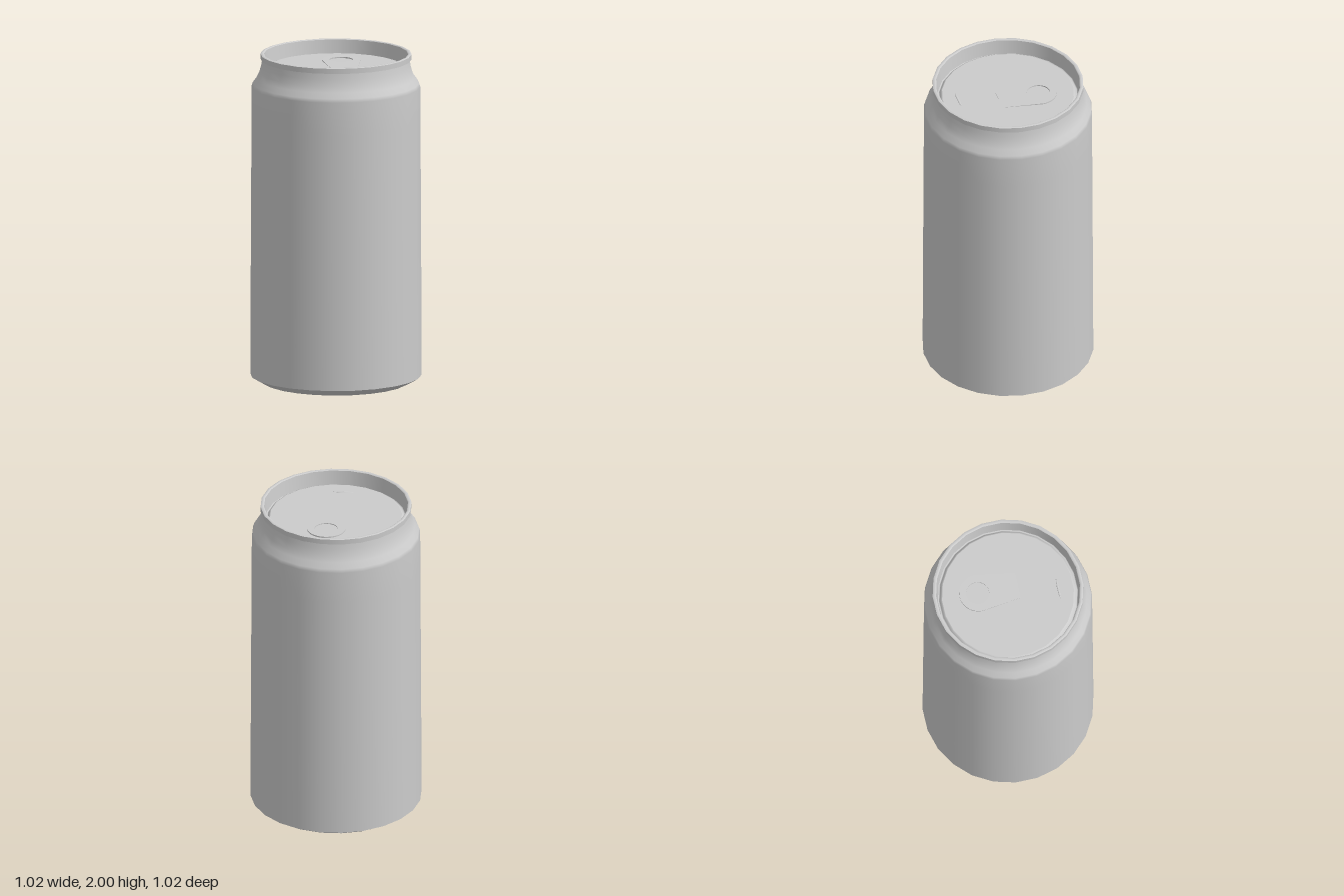
import * as THREE from 'three';

const SIDES = 24;
const LID_Y = 1.92;
const material = new THREE.MeshStandardMaterial({ color: 0xcccccc, side: THREE.DoubleSide });

function addMesh(parent, name, geometry) {
  const mesh = new THREE.Mesh(geometry, material);
  mesh.name = name;
  parent.add(mesh);
  return mesh;
}

// Smooth surface of revolution; separate profiles keep their shared edge sharp
function addLathe(parent, name, profile) {
  const points = profile.map(([r, y]) => new THREE.Vector2(r, y));
  return addMesh(parent, name, new THREE.LatheGeometry(points, SIDES));
}

// Rounded pull tab with a finger hole, lying flat and pointing to the back
function tabGeometry() {
  const shape = new THREE.Shape();
  shape.moveTo(-0.08, -0.24);
  shape.lineTo(0.08, -0.24);
  shape.lineTo(0.115, 0);
  shape.absarc(0, 0, 0.115, 0, Math.PI, false);
  shape.closePath();
  const hole = new THREE.Path();
  hole.absarc(0, 0.005, 0.07, 0, Math.PI * 2, true);
  shape.holes.push(hole);
  const geometry = new THREE.ExtrudeGeometry(shape, { depth: 0.008, bevelEnabled: false, curveSegments: 12 });
  return geometry.rotateX(-Math.PI / 2);
}

export function createModel() {
  const can = new THREE.Group();
  can.name = 'drinkCan';

  // Concave base
  const dome = [];
  for (let i = 0; i <= 6; i++) {
    const t = i / 6;
    dome.push([0.41 * t, 0.005 + 0.1 * (1 - t * t)]);
  }
  addLathe(can, 'baseDome', dome);
  addLathe(can, 'baseRing', [[0.41, 0.005], [0.42, 0], [0.435, 0.002], [0.465, 0.017], [0.512, 0.045]]);

  // Wall and neck
  addLathe(can, 'wall', [
    [0.512, 0.045], [0.511, 0.4], [0.508, 1], [0.505, 1.6], [0.504, 1.8],
    [0.497, 1.822], [0.473, 1.855], [0.457, 1.89], [0.446, 1.93], [0.44, 1.968],
  ]);

  // Rolled rim
  addLathe(can, 'rimUnderside', [[0.44, 1.968], [0.452, 1.966]]);
  addLathe(can, 'rimBand', [[0.452, 1.966], [0.452, 1.997]]);
  addLathe(can, 'rimTop', [[0.452, 1.997], [0.445, 2], [0.436, 2], [0.431, 1.996]]);

  // Recessed lid with a groove around its edge
  addLathe(can, 'lidWall', [[0.431, 1.996], [0.42, 1.905]]);
  addLathe(can, 'lidGroove', [[0.42, 1.905], [0.415, 1.9], [0.41, 1.905]]);
  addLathe(can, 'lidStep', [[0.41, 1.905], [0.402, LID_Y - 0.003], [0.395, LID_Y]]);
  addLathe(can, 'lidPanel', [[0.395, LID_Y], [0.2, LID_Y], [0, LID_Y]]);

  // Low pull tab, sinking into the lid towards the front
  const tab = addMesh(can, 'pullTab', tabGeometry());
  tab.position.set(0.025, LID_Y - 0.002, -0.175);
  tab.rotation.set(0.02, 0.12, 0, 'YXZ');

  // Raised crease near the front of the lid
  const crease = addMesh(can, 'openingCrease', new THREE.SphereGeometry(1, 16, 8));
  crease.scale.set(0.065, 0.004, 0.007);
  crease.position.set(0.012, LID_Y, 0.303);
  crease.rotation.y = 0.13;

  return can;
}
